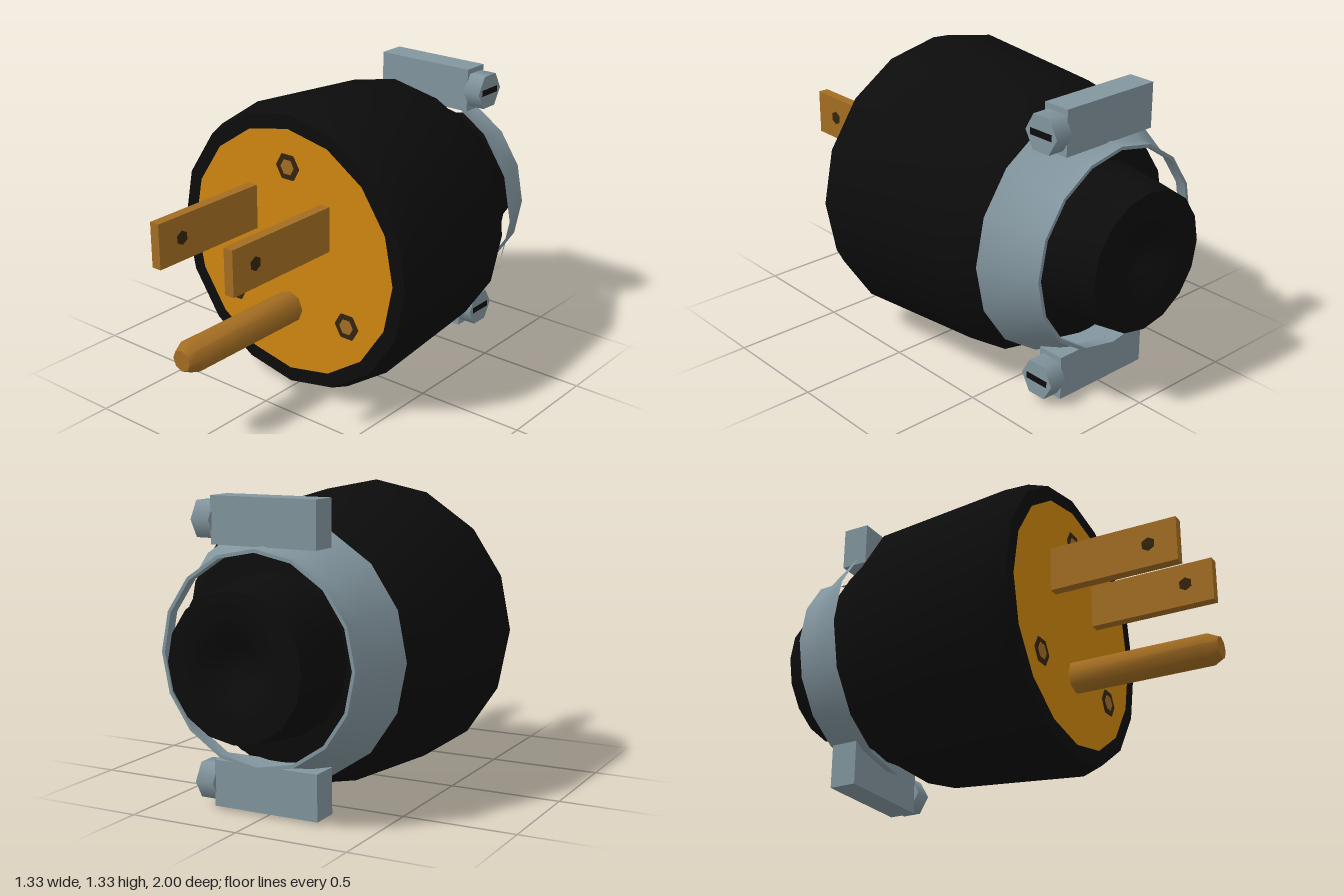
import * as THREE from 'three';
import { toCreasedNormals } from 'three/addons/utils/BufferGeometryUtils.js';

const mat = (name, color) => {
  const m = new THREE.MeshStandardMaterial({ color });
  m.name = name;
  return m;
};

export function createModel() {
  const rubber = mat('black rubber', 0x0c0c0c);
  const amber = mat('amber face', 0xcf860f);
  const brass = mat('brass', 0xa36d22);
  const dark = mat('dark recess', 0x33240f);
  const steel = mat('grey steel', 0x82959e);

  const model = new THREE.Group();
  model.name = 'plug';
  const CY = 0.668; // height of the main axis

  const add = (name, geo, material, x, y, z) => {
    const mesh = new THREE.Mesh(geo, material);
    mesh.name = name;
    mesh.position.set(x, y, z);
    model.add(mesh);
    return mesh;
  };

  // Turned part along z; profile is [radius, z] from back to front
  const turned = (profile, sides) => toCreasedNormals(
    new THREE.LatheGeometry(profile.map(([r, z]) => new THREE.Vector2(r, z)), sides).rotateX(Math.PI / 2), 0.85);

  // Hexagonal prism along z or x, optionally turned by half a side
  const hex = (r, depth, axis, turn = 0, rEnd = r) => {
    const g = new THREE.CylinderGeometry(r, rEnd, depth, 6, 1, false, turn);
    return axis === 'x' ? g.rotateZ(Math.PI / 2) : g.rotateX(Math.PI / 2);
  };

  // Body with shoulder, cable neck and dimpled back end
  add('body', turned([
    [0, -0.92], [0.08, -0.93], [0.15, -0.995], [0.22, -1], [0.308, -1], [0.33, -0.84],
    [0.345, -0.7], [0.46, -0.67], [0.505, -0.58], [0.615, -0.415],
    [0.665, 0.235], [0.633, 0.33], [0.567, 0.33],
  ], 16), rubber, 0, CY, 0);

  // Front face
  add('face', new THREE.CircleGeometry(0.567, 16), amber, 0, CY, 0.33);

  // Face screws: dark hexagonal recess with a brass centre
  for (const [x, y] of [[0, 1.065], [-0.325, 0.41], [0.325, 0.41]]) {
    add('faceScrewRecess', hex(0.064, 0.006, 'z', Math.PI / 6), dark, x, y, 0.331);
    add('faceScrew', hex(0.037, 0.008, 'z', Math.PI / 6), brass, x, y, 0.332);
  }

  // Flat blades with a hole near the tip
  for (const side of [-1, 1]) {
    add('blade', new THREE.BoxGeometry(0.047, 0.204, 0.62), brass, side * 0.207, 0.838, 0.61);
    add('bladeHole', hex(0.032, 0.051, 'x', Math.PI / 6), dark, side * 0.207, 0.84, 0.79);
  }

  // Round ground pin with chamfered tip
  add('groundPin', turned([[0.073, 0.3], [0.073, 0.95], [0.048, 1], [0, 1]], 8), brass, 0, 0.41, 0);

  // Clamp collar: flared outer wall with a turned-in back lip
  add('clampCollar', turned([
    [0.438, -0.79], [0.438, -0.838], [0.453, -0.838], [0.453, -0.78], [0.55, -0.58],
  ], 16), steel, 0, CY, 0);

  // Clamp bars with slotted hexagonal screws, above and below
  for (const side of [-1, 1]) {
    const y = CY + side * 0.552;
    add('clampBar', new THREE.BoxGeometry(0.49, 0.2, 0.126), steel, 0, y, -0.708);
    add('clampScrew', hex(0.088, 0.085, 'x'), steel, 0.283, y, -0.708);
    add('clampScrewSlot', new THREE.BoxGeometry(0.006, 0.028, 0.118), rubber, 0.325, y, -0.708);
  }

  return model;
}
